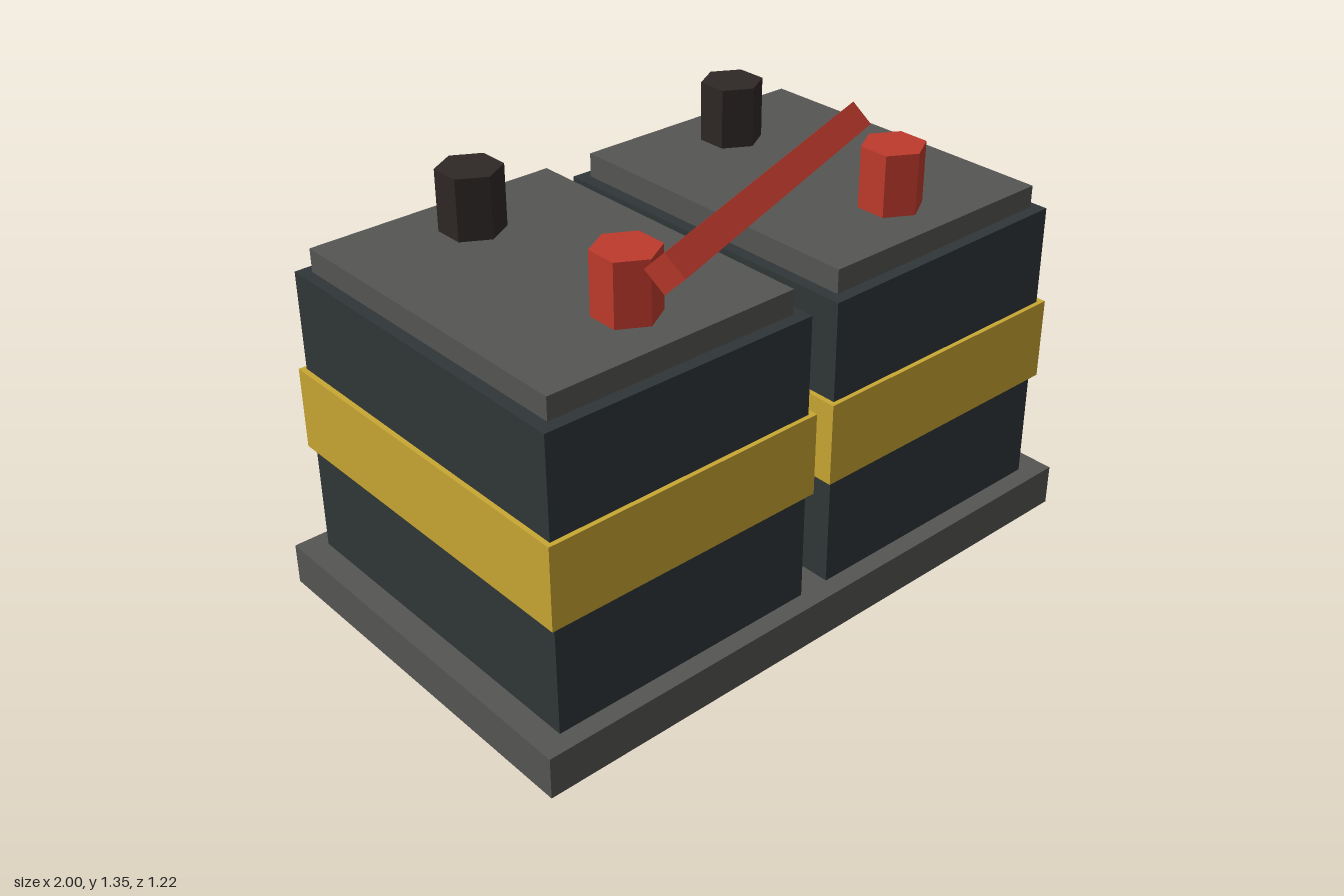
import * as THREE from 'three';

const paint = (color) => new THREE.MeshStandardMaterial({ color, flatShading: true });
const grey = paint(0x555553);
const shell = paint(0x303638);
const yellow = paint(0xc9a733);
const red = paint(0xbe3a2c);
const black = paint(0x2e2826);

function add(parent, name, geometry, material, x, y, z) {
  const mesh = new THREE.Mesh(geometry, material);
  mesh.name = name;
  mesh.position.set(x, y, z);
  parent.add(mesh);
  return mesh;
}

// Box standing between two heights
function slab(parent, name, material, w, y0, y1, d, x = 0, z = 0) {
  return add(parent, name, new THREE.BoxGeometry(w, y1 - y0, d), material, x, (y0 + y1) / 2, z);
}

// Nudge the top corners for a slightly uneven case; order: front left, front right, back left, back right as seen from the front
function unevenTop(mesh, nudges) {
  const p = mesh.geometry.attributes.position;
  for (let i = 0; i < p.count; i++) {
    if (p.getY(i) < 0) continue;
    const [dx, dy] = nudges[(p.getZ(i) > 0 ? 0 : 2) + (p.getX(i) > 0 ? 1 : 0)];
    p.setXY(i, p.getX(i) + dx, p.getY(i) + dy);
  }
  mesh.geometry.computeVertexNormals();
}

function battery(name, x, nudges) {
  const group = new THREE.Group();
  group.name = name;
  group.position.x = x;
  const body = slab(group, 'case', shell, 0.87, 0.13, 1.03, 1.106);
  unevenTop(body, nudges);
  slab(group, 'band', yellow, 0.907, 0.475, 0.73, 1.134);
  slab(group, 'lid', grey, 0.805, 1.0, 1.105, 1.035, 0, -0.002);
  // Hexagonal terminals
  for (const [post, material, z] of [['frontTerminal', red, 0.328], ['backTerminal', black, -0.33]]) {
    add(group, post, new THREE.CylinderGeometry(0.095, 0.095, 0.19, 6), material, 0, 1.195, z);
  }
  return group;
}

export function createModel() {
  const model = new THREE.Group();
  model.name = 'batteryPair';

  slab(model, 'tray', grey, 2, 0, 0.13, 1.222);

  model.add(battery('rightBattery', -0.487, [[-0.006, 0.007], [0, 0], [-0.002, 0.004], [0.008, 0.01]]));
  model.add(battery('leftBattery', 0.483, [[-0.004, 0.003], [-0.006, 0.008], [-0.008, 0], [0.007, -0.005]]));

  // Diamond-section connecting bar, lying askew across the front terminals
  const bar = new THREE.CylinderGeometry(0.057, 0.057, 1.1, 4);
  bar.rotateZ(Math.PI / 2);
  add(model, 'connectingBar', bar, red, 0, 1.292, 0.322).rotation.y = 0.343;

  return model;
}
